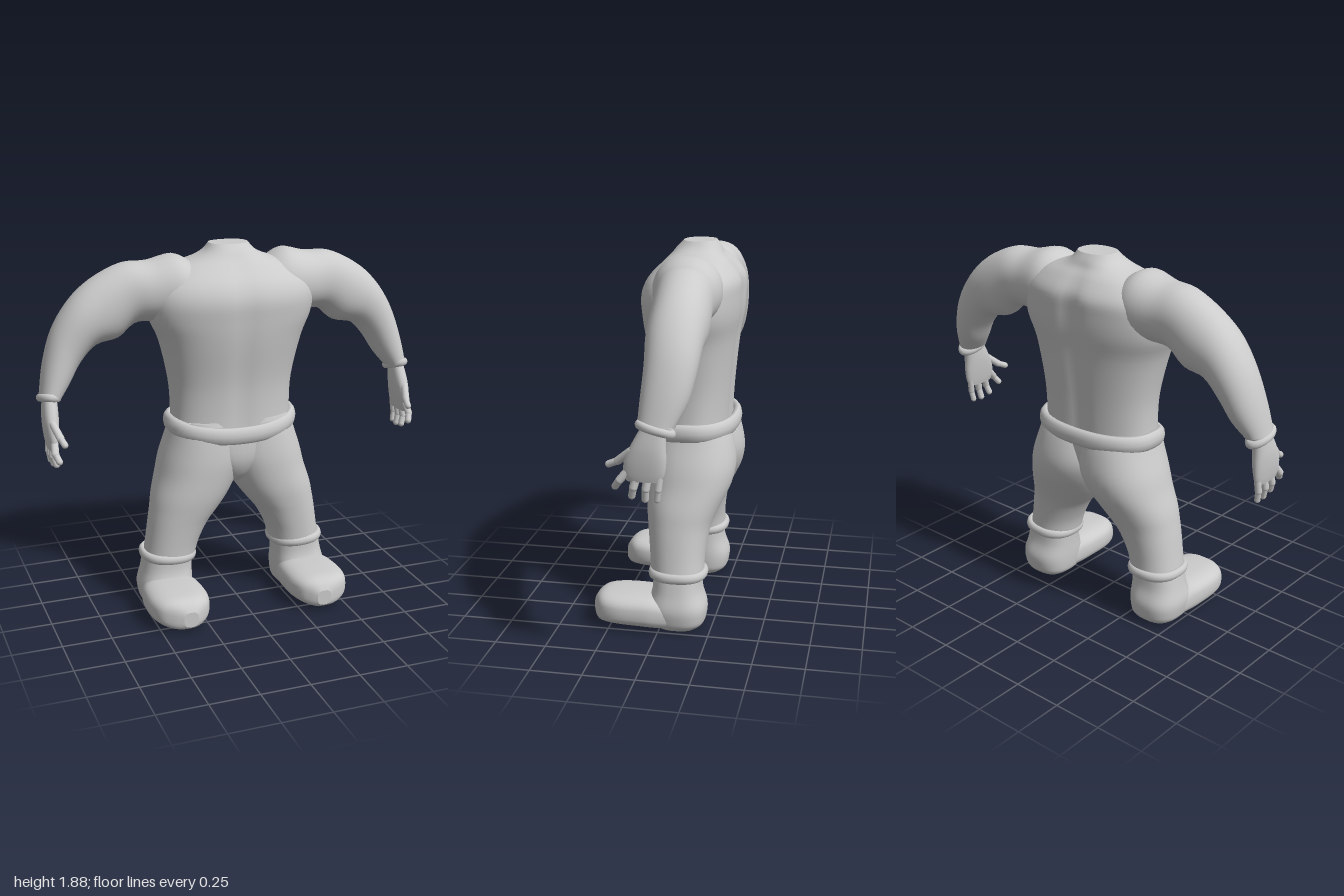
import * as THREE from 'three';
import { mergeVertices, mergeGeometries } from 'three/addons/utils/BufferGeometryUtils.js';

const pw = (v, n) => Math.sign(v) * Math.pow(Math.abs(v), 2 / n);
const mid = (a, b) => (a + b) / 2;

// Catmull-Rom blend of the numbers in neighbouring rows
function blend(rows, t) {
  const i = Math.min(Math.floor(t), rows.length - 2), f = t - i;
  const r = (k) => rows[Math.max(0, Math.min(rows.length - 1, k))];
  return rows[i].map((b, j) => {
    const a = r(i - 1)[j], c = r(i + 1)[j], d = r(i + 2)[j];
    return b + 0.5 * f * (c - a + f * (2 * a - 5 * b + 4 * c - d + f * (3 * (b - c) + d - a)));
  });
}

// Smooth capped skin over rows; place(row, c, s) returns a point of the section
function loft(rows, n, place, seg = 36, sub = 4) {
  const pos = [], idx = [], rings = (rows.length - 1) * sub + 1;
  for (let i = 0; i < rings; i++) {
    const row = blend(rows, i / sub);
    for (let j = 0; j < seg; j++) {
      const a = (j / seg) * Math.PI * 2;
      pos.push(...place(row, pw(Math.cos(a), n), pw(Math.sin(a), n)));
    }
  }
  for (let i = 0; i < rings - 1; i++) for (let j = 0; j < seg; j++) {
    const a = i * seg + j, b = i * seg + (j + 1) % seg;
    idx.push(a, a + seg, b, b, a + seg, b + seg);
  }
  for (const i of [0, rings - 1]) {
    const centre = [0, 0, 0], base = pos.length / 3;
    for (let j = 0; j < seg; j++) {
      const p = pos.slice((i * seg + j) * 3, (i * seg + j) * 3 + 3);
      p.forEach((v, k) => { centre[k] += v / seg; });
      pos.push(...p);
    }
    pos.push(...centre);
    for (let j = 0; j < seg; j++) {
      const a = base + j, b = base + (j + 1) % seg;
      idx.push(...(i ? [a, base + seg, b] : [a, b, base + seg]));
    }
  }
  const g = new THREE.BufferGeometry();
  g.setAttribute('position', new THREE.Float32BufferAttribute(pos, 3));
  g.setIndex(idx);
  // turn the faces outward when the enclosed volume is negative
  const P = (k) => new THREE.Vector3().fromArray(pos, idx[k] * 3);
  let vol = 0;
  for (let k = 0; k < idx.length; k += 3) vol += P(k).dot(P(k + 1).cross(P(k + 2)));
  if (vol < 0) flip(g);
  g.computeVertexNormals();
  return g;
}

function flip(g) {
  const x = g.index.array;
  for (let k = 0; k < x.length; k += 3) [x[k + 1], x[k + 2]] = [x[k + 2], x[k + 1]];
}

// Horizontal sections: [y, xInner, xOuter, zFront, zBack]
const upright = ([y, x0, x1, zf, zb], c, s) =>
  [mid(x0, x1) + c * (x1 - x0) / 2, y, mid(zf, zb) + s * (zf - zb) / 2];

// Rounded band around a limb or the waist
function band(cx, cz, rx, rz, thick, half, n, height) {
  const g = new THREE.TorusGeometry(1, 0.5, 10, 48), p = g.attributes.position;
  for (let i = 0; i < p.count; i++) {
    const x = p.getX(i), y = p.getY(i), a = Math.atan2(y, x), dr = (Math.hypot(x, y) - 1) * 2 * thick;
    const c = pw(Math.cos(a), n), s = -pw(Math.sin(a), n);
    p.setXYZ(i, cx + c * (rx + dr), height(c, s) + p.getZ(i) * 2 * half, cz + s * (rz + dr));
  }
  g.deleteAttribute('uv');
  g.deleteAttribute('normal');
  const m = mergeVertices(g, 1e-5);
  m.computeVertexNormals();
  return m;
}

// Rounded finger bone between two points
function bone(a, b, r) {
  const A = new THREE.Vector3(...a), d = new THREE.Vector3(...b).sub(A);
  const g = new THREE.CapsuleGeometry(r, d.length(), 5, 12);
  g.applyQuaternion(new THREE.Quaternion().setFromUnitVectors(new THREE.Vector3(0, 1, 0), d.clone().normalize()));
  const c = A.addScaledVector(d, 0.5);
  return g.translate(c.x, c.y, c.z);
}

export function createModel() {
  const model = new THREE.Group();
  model.name = 'headlessFigure';
  const mat = new THREE.MeshStandardMaterial({ color: 0xcccccc });
  const add = (name, geo) => {
    const m = new THREE.Mesh(geo, mat);
    m.name = name;
    model.add(m);
  };
  const addPair = (name, geo) => {
    add('left' + name, geo);
    const g = geo.clone().scale(-1, 1, 1);
    flip(g);
    g.computeVertexNormals();
    add('right' + name, g);
  };

  // Torso: [y, halfWidth, zFront, zBack], grooved along spine and breastbone
  add('torso', loft([
    [0.93, 0.32, 0.09, -0.28], [1.05, 0.315, 0.09, -0.285], [1.2, 0.325, 0.1, -0.295],
    [1.4, 0.37, 0.135, -0.315], [1.52, 0.42, 0.15, -0.335], [1.62, 0.43, 0.155, -0.34],
    [1.7, 0.4, 0.125, -0.335], [1.77, 0.31, 0.06, -0.285], [1.81, 0.19, 0.02, -0.245],
    [1.84, 0.13, -0.005, -0.225], [1.875, 0.1, -0.04, -0.2],
  ], 2.3, ([y, w, zf, zb], c, s) => {
    const groove = Math.exp(-((c * w / 0.05) ** 2)) * Math.max(0, Math.min(1, (1.85 - y) * 6));
    return [c * w, y, mid(zf, zb) + s * (zf - zb) / 2 - Math.sign(s) * groove * (s > 0 ? 0.01 : 0.022)];
  }, 72));

  // Sleeves: [xTop, yTop, xBottom, yBottom, zFront, zBack]
  addPair('Arm', loft([
    [0.2, 1.79, 0.2, 1.5, 0.05, -0.26], [0.29, 1.835, 0.3, 1.5, 0.06, -0.28],
    [0.42, 1.808, 0.42, 1.51, 0.03, -0.27], [0.55, 1.8, 0.5, 1.5, 0.005, -0.268],
    [0.7, 1.73, 0.58, 1.435, 0, -0.272], [0.81, 1.635, 0.69, 1.41, -0.005, -0.262],
    [0.9, 1.5, 0.77, 1.33, -0.015, -0.25], [0.955, 1.34, 0.83, 1.235, -0.01, -0.222],
    [0.985, 1.19, 0.885, 1.165, -0.005, -0.17],
  ], 2.1, ([xt, yt, xb, yb, zf, zb], c, s) =>
    [mid(xt, xb) + c * (xt - xb) / 2, mid(yt, yb) + c * (yt - yb) / 2, mid(zf, zb) + s * (zf - zb) / 2]));
  addPair('WristCuff', band(0.94, -0.087, 0.045, 0.075, 0.015, 0.02, 2,
    (c, s) => 1.172 + 0.006 * c + 0.02 * s));

  // Hands: palm, then two bones for each digit
  const hand = [loft([
    [1.19, 0.905, 0.972, -0.03, -0.135], [1.1, 0.905, 0.983, 0.02, -0.135], [1.03, 0.912, 0.982, 0.05, -0.137],
    [0.97, 0.922, 0.975, 0.055, -0.13], [0.935, 0.93, 0.968, 0.04, -0.115],
  ], 2.3, upright, 24)];
  for (const [z0, y0, z1, y1, z2, y2, x2, r] of [
    [0.02, 1.07, 0.085, 1.015, 0.128, 0.995, 0.915, 0.018],
    [0.035, 0.98, 0.072, 0.935, 0.095, 0.902, 0.938, 0.018],
    [-0.005, 0.96, 0.01, 0.905, 0.02, 0.862, 0.938, 0.018],
    [-0.055, 0.96, -0.045, 0.9, -0.04, 0.85, 0.94, 0.018],
    [-0.108, 0.97, -0.1, 0.9, -0.094, 0.852, 0.945, 0.016],
  ]) {
    const thumb = x2 < 0.92;
    const knuckle = [thumb ? 0.925 : 0.952, y1, z1];
    hand.push(bone([0.947, y0, z0], knuckle, r * 1.05), bone(knuckle, [x2, y2, z2], r * 0.92));
  }
  hand.forEach((g) => g.deleteAttribute('uv'));
  addPair('Hand', mergeGeometries(hand));

  // Belt, dipping at the front
  add('belt', band(0, -0.1, 0.325, 0.205, 0.025, 0.045, 2.3,
    (c, s) => 0.975 - (s > 0 ? 0.045 * s * s : 0)));

  // Trousers
  add('pelvis', loft([
    [0.65, -0.03, 0.03, 0.0, -0.14], [0.7, -0.09, 0.09, 0.06, -0.21],
    [0.8, -0.2, 0.2, 0.1, -0.27], [0.95, -0.28, 0.28, 0.095, -0.285],
  ], 2.3, upright));
  addPair('Leg', loft([
    [1.0, -0.04, 0.315, 0.08, -0.28], [0.92, -0.05, 0.335, 0.1, -0.31], [0.8, -0.06, 0.375, 0.11, -0.33],
    [0.7, -0.025, 0.4, 0.107, -0.315], [0.6, 0.03, 0.43, 0.1, -0.27], [0.52, 0.09, 0.445, 0.088, -0.235],
    [0.45, 0.145, 0.457, 0.077, -0.217], [0.35, 0.195, 0.472, 0.065, -0.205], [0.27, 0.215, 0.485, 0.058, -0.205],
  ], 2.2, upright));
  addPair('AnkleCuff', band(0.357, -0.078, 0.13, 0.129, 0.018, 0.025, 2.3, (c) => 0.277 + 0.005 * c));

  // Boots: upright shaft and forward foot [z, xInner, xOuter, yBottom, yTop]
  addPair('BootShaft', loft([
    [0.3, 0.232, 0.482, 0.045, -0.195], [0.2, 0.235, 0.5, 0.045, -0.2], [0.12, 0.235, 0.518, 0.07, -0.225],
    [0.06, 0.24, 0.512, 0.06, -0.222], [0.025, 0.25, 0.5, 0.05, -0.21], [0, 0.28, 0.47, 0.02, -0.18],
  ], 2.5, upright));
  addPair('BootFoot', loft([
    [-0.15, 0.265, 0.485, 0, 0.12], [0, 0.235, 0.522, 0.002, 0.17], [0.08, 0.225, 0.535, 0.008, 0.178],
    [0.2, 0.225, 0.535, 0.013, 0.177], [0.28, 0.25, 0.508, 0.015, 0.17],
    [0.32, 0.29, 0.455, 0.018, 0.148], [0.342, 0.325, 0.4, 0.035, 0.115],
  ], 2.9, ([z, x0, x1, y0, y1], c, s) =>
    [mid(x0, x1) + c * (x1 - x0) / 2, mid(y0, y1) + s * (y1 - y0) / 2, z]));

  return model;
}
